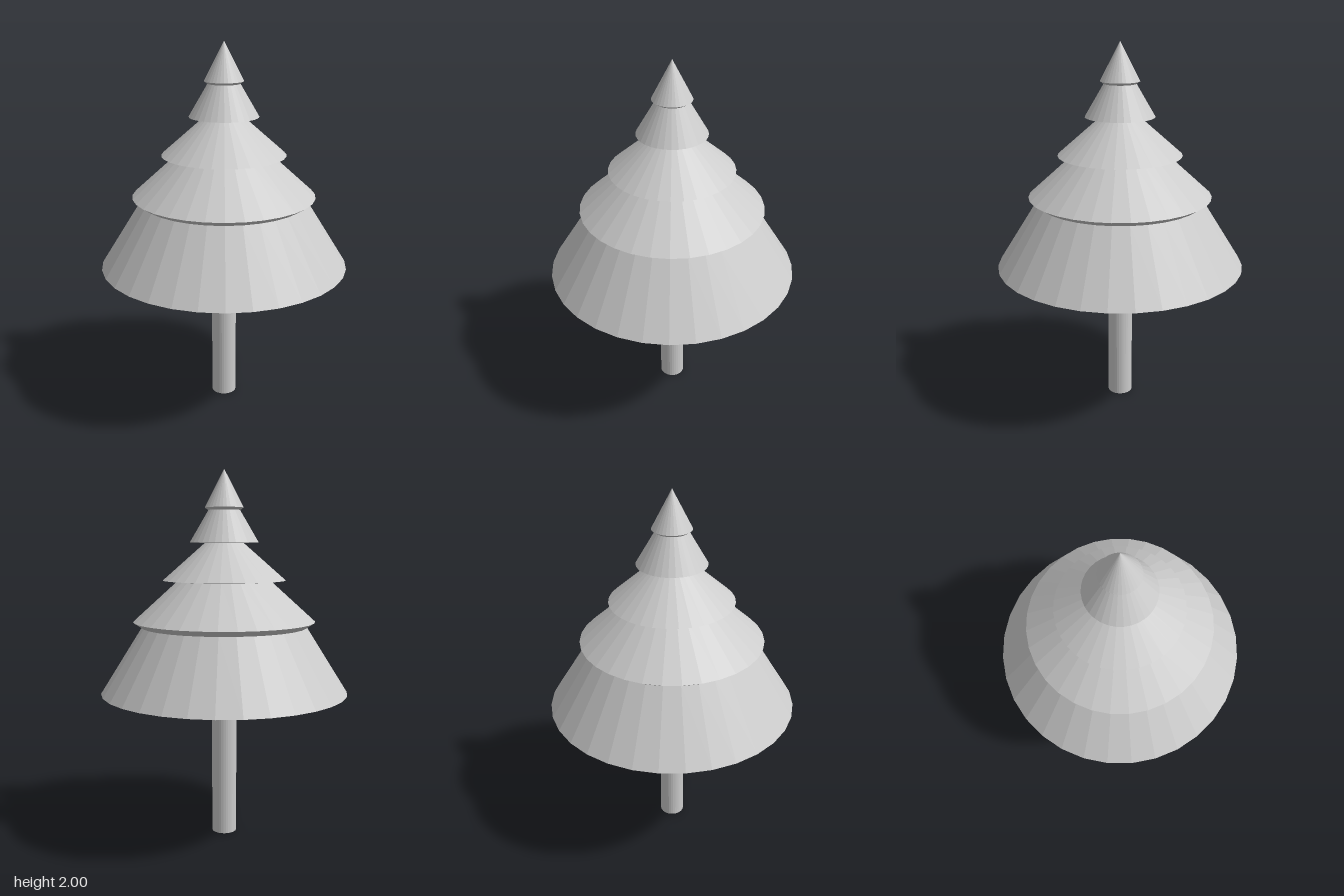
import * as THREE from 'three';

const SIDES = 32;
const TRUNK_RADIUS = 0.068;

export function createModel() {
  const tree = new THREE.Group();
  tree.name = 'tree';
  const material = new THREE.MeshStandardMaterial({ color: 0xcccccc, flatShading: true });

  const addLathe = (name, points) => {
    const profile = points.map(([r, y]) => new THREE.Vector2(r, y));
    const mesh = new THREE.Mesh(new THREE.LatheGeometry(profile, SIDES), material);
    mesh.name = name;
    tree.add(mesh);
  };

  // Trunk, closed at the foot
  addLathe('trunk', [[0, 0], [TRUNK_RADIUS, 0], [TRUNK_RADIUS, 0.752]]);

  // Each tier: inner underside, rim, then the slope up to the next tier
  const tiers = [
    { inner: [TRUNK_RADIUS, 0.752], rim: [0.673, 0.806] },
    { inner: [0.448, 1.163], rim: [0.493, 1.193] },
    { inner: [0.255, 1.408], rim: [0.332, 1.414] },
    { inner: [0.105, 1.613], rim: [0.185, 1.616] },
    { inner: [0.085, 1.786], rim: [0.104, 1.799] },
  ];
  tiers.forEach(({ inner, rim }, i) => {
    const top = i + 1 < tiers.length ? tiers[i + 1].inner : [0, 2];
    addLathe(`foliageTier${i + 1}`, [inner, rim, top]);
  });

  return tree;
}
